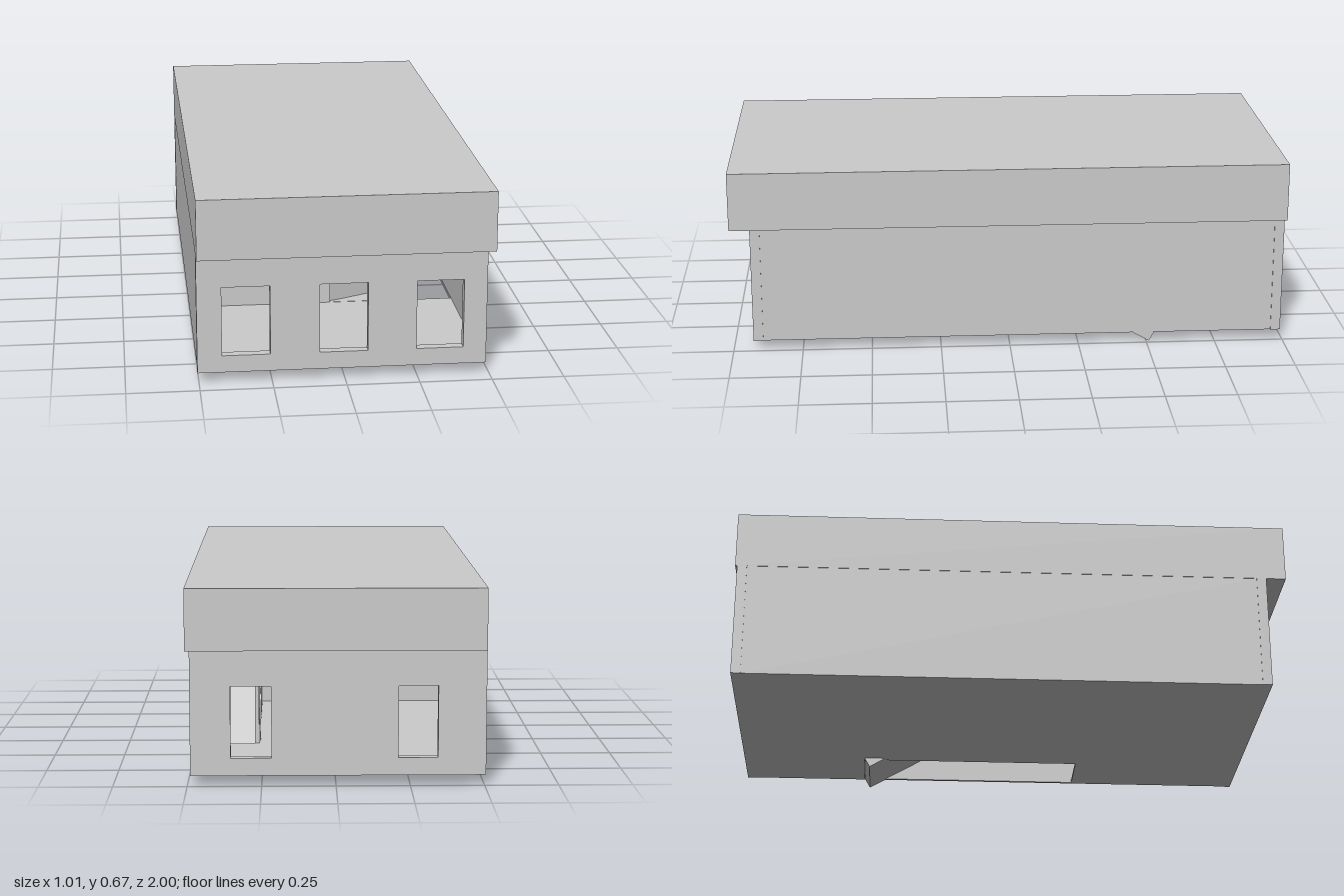
import * as THREE from 'three';

const material = new THREE.MeshStandardMaterial({ color: 0xcccccc, flatShading: true, side: THREE.DoubleSide });

export function createModel() {
  const model = new THREE.Group();
  model.name = 'building';

  const add = (name, geometry) => {
    const mesh = new THREE.Mesh(geometry, material);
    mesh.name = name;
    model.add(mesh);
    return mesh;
  };

  // box given by its limits on each axis
  const block = (name, x0, x1, y0, y1, z0, z1) =>
    add(name, new THREE.BoxGeometry(x1 - x0, y1 - y0, z1 - z0)
      .translate((x0 + x1) / 2, (y0 + y1) / 2, (z0 + z1) / 2));

  const rect = (Type, x0, x1, y0, y1) => new Type([
    [x0, y0], [x1, y0], [x1, y1], [x0, y1],
  ].map(([x, y]) => new THREE.Vector2(x, y)));

  // slab with rectangular openings, drawn in xy and extruded along z
  const slab = (x0, x1, y0, y1, depth, openings) => {
    const shape = rect(THREE.Shape, x0, x1, y0, y1);
    openings.forEach((o) => shape.holes.push(rect(THREE.Path, ...o)));
    return new THREE.ExtrudeGeometry(shape, { depth, bevelEnabled: false });
  };

  const base = 0.035, eaves = 0.46, sill = 0.095, head = 0.34;
  const windows = (spans) => spans.map(([a, b]) => [a, b, sill, head]);

  // roof block, overhanging at the front and on the left
  block('roof', -0.505, 0.505, eaves, 0.67, -1, 1);

  // end walls with window openings
  add('frontWall', slab(-0.505, 0.49, base, eaves, 0.035,
    windows([[-0.42, -0.255], [-0.085, 0.08], [0.248, 0.41]])).translate(0, 0, 0.893));
  add('backWall', slab(-0.505, 0.49, base, eaves, 0.035,
    windows([[-0.343, -0.21], [0.217, 0.354]])).translate(0, 0, -0.993));

  // thin side walls set between the end walls
  block('leftWall', 0.477, 0.487, base, eaves, -0.958, 0.893);
  block('rightWall', -0.503, -0.49, base, eaves, -0.958, 0.893);

  // floor with the stairwell opening
  add('floor', slab(-0.49, 0.477, -0.893, 0.958, 0.012, [[0.28, 0.476, -0.29, 0.53]])
    .rotateX(-Math.PI / 2).translate(0, base, 0));

  // inner walls: cross wall with a doorway, and the wall beside the stairwell
  add('crossWall', slab(-0.49, 0.28, base + 0.012, eaves, 0.02,
    [[0.02, 0.2, base + 0.013, 0.4]]).translate(0, 0, 0.27));
  block('stairwellWall', 0.265, 0.28, base, eaves, -0.53, 0.27);

  // inner door, ajar
  const door = add('innerDoor', new THREE.BoxGeometry(0.2, 0.35, 0.012).translate(0.1, 0.222, 0));
  door.position.set(0.02, 0, 0.27);
  door.rotation.y = 0.45;

  // sloping stair slab that drops below the floor
  const profile = new THREE.Shape([
    [-0.51, 0], [0.286, eaves], [0.21, eaves], [-0.529, 0.033],
  ].map(([z, y]) => new THREE.Vector2(z, y)));
  add('stairRamp', new THREE.ExtrudeGeometry(profile, { depth: 0.224, bevelEnabled: false })
    .rotateY(-Math.PI / 2).translate(0.485, 0, 0));

  return model;
}
